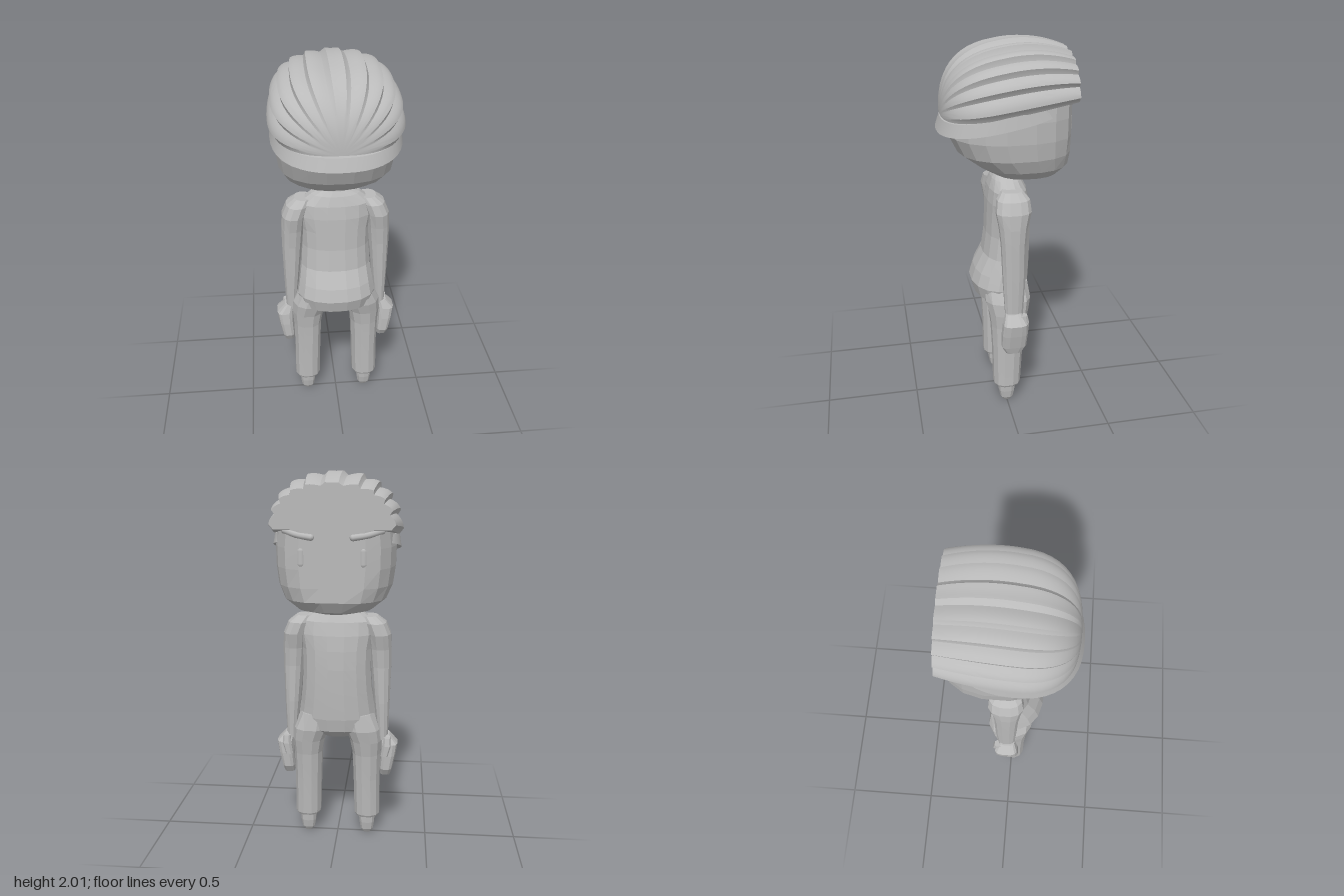
import * as THREE from 'three';
import { toCreasedNormals } from 'three/addons/utils/BufferGeometryUtils.js';

const grey = new THREE.MeshStandardMaterial({ color: 0xbababa });
grey.name = 'plain grey';

const spow = (v, p) => Math.sign(v) * Math.pow(Math.abs(v), p);

// Closed solid through rings of equal length, capped at both ends
function loft(rings, crease = 0.05) {
  const n = rings[0].length, pos = rings.flat(2), idx = [];
  for (let i = 0; i < rings.length - 1; i++) {
    for (let j = 0; j < n; j++) {
      const a = i * n + j, b = i * n + (j + 1) % n;
      idx.push(a, b, a + n, b, b + n, a + n);
    }
  }
  [0, rings.length - 1].forEach((r) => {
    const c = pos.length / 3;
    for (let k = 0; k < 3; k++) pos.push(rings[r].reduce((s, p) => s + p[k], 0) / n);
    for (let j = 0; j < n; j++) {
      const a = r * n + j, b = r * n + (j + 1) % n;
      idx.push(...(r === 0 ? [c, b, a] : [c, a, b]));
    }
  });
  // Turn the faces outward
  const at = (i) => new THREE.Vector3().fromArray(pos, i * 3);
  let volume = 0;
  for (let i = 0; i < idx.length; i += 3) {
    volume += at(idx[i]).dot(at(idx[i + 1]).cross(at(idx[i + 2])));
  }
  if (volume < 0) idx.reverse();
  const g = new THREE.BufferGeometry();
  g.setAttribute('position', new THREE.Float32BufferAttribute(pos, 3));
  g.setIndex(idx);
  return toCreasedNormals(g, crease);
}

// Horizontal section: height, centre x, half width, front z, back z
function ring([y, cx, rx, z0, z1], sides = 12, power = 0.85, faceZ = -9) {
  return Array.from({ length: sides }, (_, i) => {
    const a = (i + 0.5) / sides * Math.PI * 2;
    const z = (z0 + z1) / 2 + spow(Math.sin(a), power) * (z1 - z0) / 2;
    return [cx + spow(Math.cos(a), power) * rx, y, Math.max(z, faceZ)];
  });
}

const stack = (rows, ...opts) => loft(rows.map((r) => ring(r, ...opts)));

// Swept hair: ridged locks fanning forward from one point at the back
function hairGeometry() {
  const locks = 5, steps = 8, rings = [];
  const thetas = [];
  const total = (locks + 0.5) * steps;
  for (let i = -total; i <= total; i++) thetas.push(i / steps);
  for (let v = 0; v <= 24; v++) {
    const t = -1 + v / 12;
    const a = Math.min(t, 0.985) * Math.PI / 2;
    const z = t < 0 ? 0.325 * t : 0.31 * Math.pow(Math.sin(a), 0.77);
    const taper = t < 0 ? 1 : Math.pow(Math.cos(a), 0.77);
    const w = (t < 0 ? 0.325 - 0.035 * t * t : 0.325) * taper;
    const h = (t < 0 ? 0.3 - 0.09 * t * t : 0.3) * taper;
    rings.push(thetas.map((s) => {
      const angle = s / (locks + 0.5) * Math.PI / 2;
      const m = Math.abs(s);
      const d = m < 0.5 ? m + 0.5 : (m - 0.5) % 1;
      const ridge = d < 0.78 ? 0.3 + 0.7 * Math.sin(d / 0.78 * Math.PI / 2) : (1 - d) / 0.22;
      const k = 0.94 + 0.1 * ridge;
      return [
        w * k * spow(Math.sin(angle), 0.85),
        1.69 - 0.155 * z + h * k * spow(Math.max(Math.cos(angle), 0), 0.85),
        z,
      ];
    }));
  }
  return loft(rings, 0.45);
}

// Lower hair band, sloping up towards the temples and open at the face
function bandGeometry() {
  const rings = [];
  for (let i = 0; i <= 36; i++) {
    const a = -0.95 + (Math.PI + 1.9) * i / 36;
    const c = spow(Math.cos(a), 0.85), s = spow(Math.sin(a), 0.85);
    const thin = Math.min(1, 0.35 + Math.min(i, 36 - i) / 10);
    const y = 1.64 - 0.2 * 0.32 * s;
    rings.push([[0.328, 0.332, -0.01], [0.318, 0.31, 0.055 * thin], [0.27, 0.26, 0.06 * thin], [0.28, 0.27, 0]]
      .map(([rx, rz, dy]) => [rx * c, y + dy, rz * s]));
  }
  return loft(rings, 0.5);
}

export function createModel() {
  const model = new THREE.Group();
  const add = (name, geometry, parent = model) => {
    const mesh = new THREE.Mesh(geometry, grey);
    mesh.name = name;
    parent.add(mesh);
    return mesh;
  };

  // Head with a flattened face at -z
  add('head', stack([
    [1.31, 0, 0.09, -0.21, -0.02], [1.335, 0, 0.19, -0.29, 0.05],
    [1.39, 0, 0.26, -0.34, 0.14], [1.46, 0, 0.292, -0.36, 0.235],
    [1.55, 0, 0.305, -0.37, 0.28], [1.65, 0, 0.307, -0.37, 0.285],
    [1.75, 0, 0.295, -0.37, 0.26], [1.83, 0, 0.24, -0.36, 0.2],
    [1.88, 0, 0.15, -0.34, 0.1],
  ], 20, 0.82, -0.325));
  add('hair', hairGeometry());
  add('hairBand', bandGeometry());

  // Neck and torso
  add('torso', stack([
    [1.37, 0, 0.06, -0.07, 0.03], [1.325, 0, 0.075, -0.08, 0.04],
    [1.3, 0, 0.13, -0.1, 0.055], [1.25, 0, 0.195, -0.125, 0.072],
    [1.18, 0, 0.2, -0.142, 0.082], [1.1, 0, 0.185, -0.15, 0.086],
    [1, 0, 0.182, -0.153, 0.09], [0.88, 0, 0.19, -0.15, 0.107],
    [0.79, 0, 0.203, -0.147, 0.153], [0.72, 0, 0.215, -0.143, 0.174],
    [0.65, 0, 0.2, -0.13, 0.155], [0.6, 0, 0.09, -0.07, 0.09],
  ], 16, 0.9));

  for (const side of [1, -1]) {
    const mirror = (rows) => rows.map(([y, cx, ...rest]) => [y, cx * side, ...rest]);
    const prefix = side > 0 ? 'left' : 'right';
    add(prefix + 'Arm', stack(mirror([
      [1.275, 0.17, 0.045, -0.08, 0.03], [1.24, 0.2, 0.06, -0.11, 0.06],
      [1.18, 0.223, 0.062, -0.115, 0.07], [1.1, 0.23, 0.06, -0.095, 0.055],
      [1, 0.235, 0.055, -0.085, 0.045], [0.8, 0.242, 0.043, -0.083, 0.037],
      [0.59, 0.25, 0.028, -0.07, 0.025],
    ])));
    add(prefix + 'Hand', stack(mirror([
      [0.615, 0.262, 0.025, -0.06, 0.025], [0.565, 0.286, 0.046, -0.088, 0.042],
      [0.5, 0.281, 0.041, -0.09, 0.048], [0.42, 0.27, 0.035, -0.085, 0.048],
      [0.38, 0.266, 0.028, -0.06, 0.025],
    ]), 12, 0.6));
    add(prefix + 'Thumb', stack(mirror([
      [0.605, 0.275, 0.02, -0.09, -0.04], [0.56, 0.275, 0.026, -0.1, -0.03],
      [0.5, 0.262, 0.022, -0.098, -0.04],
    ]), 8, 0.7));
    add(prefix + 'Leg', stack(mirror([
      [0.74, 0.12, 0.08, -0.12, 0.12], [0.65, 0.14, 0.103, -0.132, 0.118],
      [0.58, 0.158, 0.09, -0.118, 0.098], [0.5, 0.162, 0.079, -0.103, 0.088],
      [0.35, 0.163, 0.074, -0.088, 0.08], [0.13, 0.167, 0.072, -0.076, 0.076],
      [0.118, 0.167, 0.066, -0.07, 0.07],
    ])));
    add(prefix + 'Foot', stack(mirror([
      [0.14, 0.167, 0.047, -0.05, 0.05], [0.07, 0.167, 0.043, -0.045, 0.045],
      [0.025, 0.167, 0.036, -0.036, 0.036], [0, 0.167, 0.02, -0.02, 0.02],
    ]), 10, 0.7));

    // Eye and brow, slightly raised from the face
    const eye = add(prefix + 'Eye', new THREE.CapsuleGeometry(0.017, 0.06, 4, 10));
    eye.scale.z = 0.6;
    eye.position.set(side * 0.15, 1.61, -0.319);
    const browPath = new THREE.CatmullRomCurve3([
      [0.1, 1.705, -0.325], [0.165, 1.715, -0.317], [0.235, 1.732, -0.268],
    ].map(([x, y, z]) => new THREE.Vector3(x * side, y, z)));
    add(prefix + 'Brow', new THREE.TubeGeometry(browPath, 8, 0.016, 8));
    for (const end of [0, 1]) {
      add(prefix + 'BrowTip', new THREE.SphereGeometry(0.016, 8, 6))
        .position.copy(browPath.getPoint(end));
    }
  }
  return model;
}
